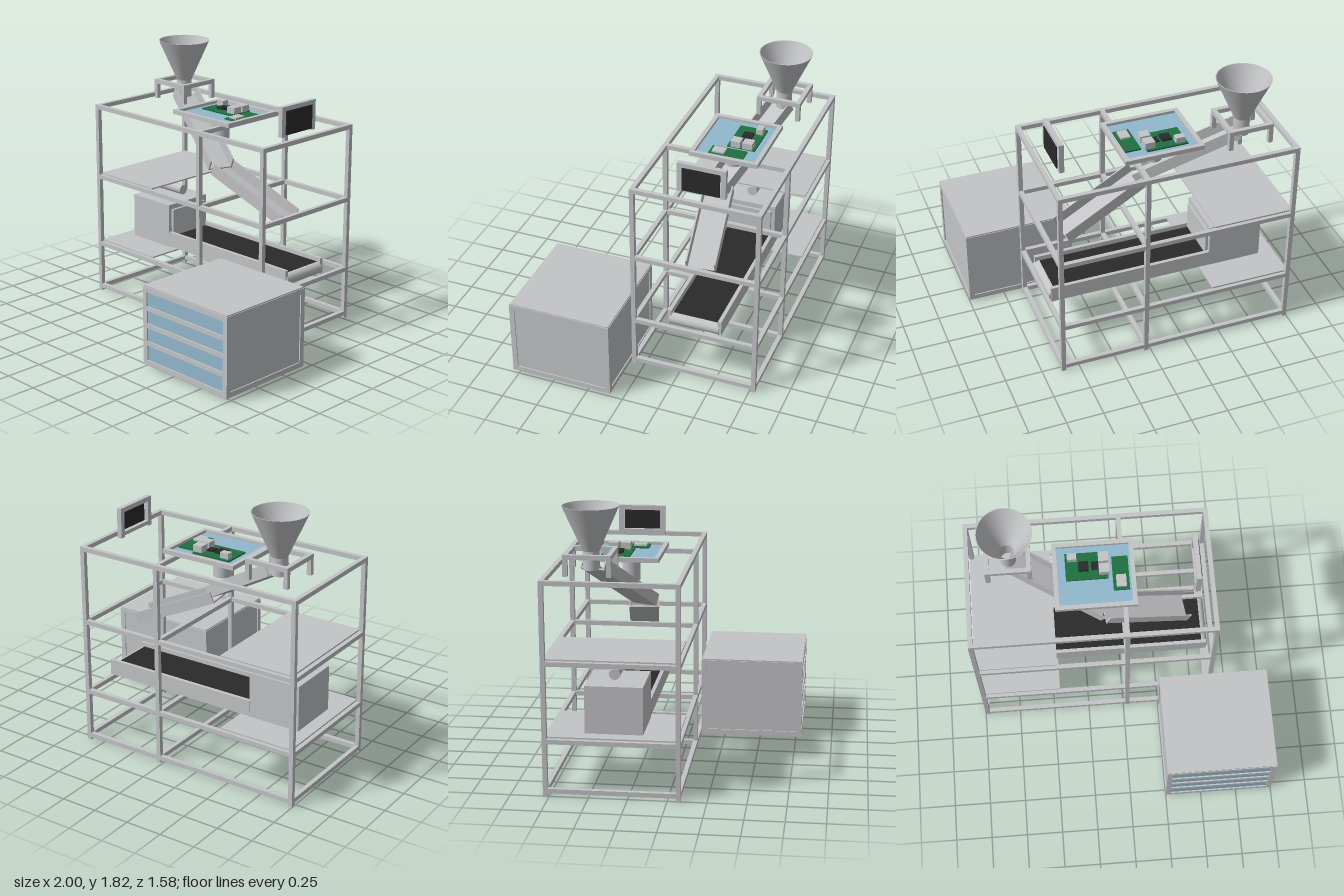
import * as THREE from 'three';

const mat = (name, color) => {
  const m = new THREE.MeshStandardMaterial({ color, side: THREE.DoubleSide });
  m.name = name;
  return m;
};

export function createModel() {
  const metal = mat('light grey metal', 0xc3c4c6);
  const blue = mat('pale blue panel', 0x92b8cd);
  const black = mat('black rubber', 0x2a2a2a);
  const green = mat('circuit green', 0x1e7040);

  const model = new THREE.Group();
  model.name = 'sortingMachine';

  const group = (name) => {
    const g = new THREE.Group();
    g.name = name;
    model.add(g);
    return g;
  };
  const add = (parent, name, geo, material) => {
    const m = new THREE.Mesh(geo, material);
    m.name = name;
    parent.add(m);
    return m;
  };
  // Box given by its lower and upper limits on each axis
  const box = (parent, name, material, x0, x1, y0, y1, z0, z1) => {
    const m = add(parent, name, new THREE.BoxGeometry(x1 - x0, y1 - y0, z1 - z0), material);
    m.position.set((x0 + x1) / 2, (y0 + y1) / 2, (z0 + z1) / 2);
    return m;
  };
  // Flat rectangular ring of four bars
  const ring = (parent, name, x0, x1, y0, y1, z0, z1, w) => {
    box(parent, name, metal, x0, x1, y0, y1, z0, z0 + w);
    box(parent, name, metal, x0, x1, y0, y1, z1 - w, z1);
    box(parent, name, metal, x0, x0 + w, y0, y1, z0 + w, z1 - w);
    box(parent, name, metal, x1 - w, x1, y0, y1, z0 + w, z1 - w);
  };

  // Rack: six posts, four levels of rails
  const rack = group('rack');
  const T = 0.03, X0 = -1, X1 = 0.625, Z0 = -0.79, Z1 = 0.085, XM = 0.015;
  for (const x of [X0, XM, X1 - T])
    for (const z of [Z0, Z1 - T]) box(rack, 'post', metal, x, x + T, 0, 1.395, z, z + T);
  for (const y of [0.02, 0.347, 0.853, 1.365]) {
    ring(rack, 'rail', X0, X1, y, y + T, Z0, Z1, T);
    box(rack, 'crossRail', metal, XM, XM + T, y, y + T, Z0 + T, Z1 - T);
  }
  for (const y of [0.377, 0.883]) box(rack, 'shelf', metal, -0.97, -0.445, y, y + 0.01, -0.765, 0.06);

  // Hopper with spout, on a four-legged stand
  const hopper = group('hopper');
  const funnel = [[0.053, 1.41], [0.053, 1.53], [0.18, 1.815], [0.174, 1.815], [0.048, 1.53], [0.048, 1.41]];
  for (let i = 0; i < funnel.length - 1; i++) {
    const pts = [funnel[i], funnel[i + 1]].map(([r, y]) => new THREE.Vector2(r, y));
    add(hopper, 'funnel', new THREE.LatheGeometry(pts, 40), metal).position.set(-0.71, 0, -0.508);
  }
  ring(hopper, 'standTop', -0.863, -0.56, 1.5, 1.53, -0.663, -0.36, T);
  for (const x of [-0.863, -0.59])
    for (const z of [-0.663, -0.39]) box(hopper, 'standLeg', metal, x, x + T, 1.393, 1.5, z, z + T);

  // U-shaped chute between two floor points
  const chute = (name, a, b, width, wall) => {
    const g = group(name);
    const A = new THREE.Vector3(...a), B = new THREE.Vector3(...b);
    const len = A.distanceTo(B), t = 0.01;
    box(g, 'chuteFloor', metal, -width / 2, width / 2, 0, t, -len / 2, len / 2);
    for (const s of [-1, 1]) {
      const c = s * (width - t) / 2;
      box(g, 'chuteWall', metal, c - t / 2, c + t / 2, t, wall, -len / 2, len / 2);
    }
    g.position.copy(A).add(B).multiplyScalar(0.5);
    g.lookAt(B);
  };
  chute('upperChute', [-0.71, 1.412, -0.505], [-0.1, 1.04, -0.26], 0.175, 0.08);
  chute('lowerChute', [-0.11, 1.022, -0.262], [0.45, 0.767, -0.34], 0.2, 0.08);

  // Electronics tray with camera underneath
  const tray = group('electronicsTray');
  ring(tray, 'trayRim', -0.425, 0.112, 1.395, 1.425, -0.592, -0.122, T);
  box(tray, 'trayPanel', blue, -0.395, 0.082, 1.396, 1.406, -0.562, -0.152);
  box(tray, 'mainBoard', green, -0.342, -0.065, 1.406, 1.416, -0.515, -0.325);
  box(tray, 'sideBoard', green, -0.037, 0.07, 1.406, 1.416, -0.475, -0.238);
  const parts = [
    [metal, -0.327, -0.265, 1.455, -0.5, -0.455],
    [black, -0.257, -0.19, 1.43, -0.45, -0.382],
    [black, -0.172, -0.125, 1.425, -0.445, -0.39],
    [metal, -0.124, -0.056, 1.46, -0.497, -0.43],
    [metal, -0.124, -0.056, 1.46, -0.415, -0.35],
    [metal, -0.016, 0.05, 1.428, -0.342, -0.257],
  ];
  for (const [m, x0, x1, top, z0, z1] of parts) box(tray, 'component', m, x0, x1, 1.416, top, z0, z1);
  add(tray, 'camera', new THREE.CylinderGeometry(0.06, 0.06, 0.172, 32), metal).position.set(-0.172, 1.311, -0.337);

  // Display on the rack's end
  const display = group('display');
  for (const z of [-0.523, -0.232]) box(display, 'displayPost', metal, 0.492, 0.525, 1.393, 1.567, z, z + 0.035);
  box(display, 'displayTop', metal, 0.492, 0.525, 1.565, 1.597, -0.523, -0.197);
  box(display, 'displayBottom', metal, 0.492, 0.52, 1.405, 1.43, -0.488, -0.232);
  box(display, 'screen', black, 0.521, 0.531, 1.405, 1.567, -0.485, -0.235);

  // Conveyor with end rollers and chamber
  const conveyor = group('conveyor');
  box(conveyor, 'belt', black, -0.5, 0.575, 0.383, 0.472, -0.518, -0.198);
  const lie = (name, r, len, x, y, z, axis) => {
    const m = add(conveyor, name, new THREE.CylinderGeometry(r, r, len, 32), metal);
    m.rotation[axis] = Math.PI / 2;
    m.position.set(x, y, z);
  };
  lie('endRoller', 0.042, 0.346, 0.575, 0.428, -0.352, 'x');
  for (const z of [-0.54, -0.192]) box(conveyor, 'sidePlate', metal, -0.515, 0.605, 0.392, 0.5, z, z + 0.025);
  box(conveyor, 'chamber', metal, -0.883, -0.515, 0.388, 0.7, -0.537, -0.165);
  box(conveyor, 'chamberDoor', metal, -0.515, -0.497, 0.466, 0.665, -0.51, -0.19);
  lie('lamp', 0.035, 0.275, -0.697, 0.767, -0.35, 'z');

  // Drawer cabinet, open underneath
  const cab = group('cabinet');
  const cx0 = 0.25, cx1 = 1, cz0 = 0.087, cz1 = 0.79, cy0 = 0.022, cy1 = 0.56, w = 0.035;
  for (const y of [cy0, cy1 - w]) ring(cab, 'cabinetRail', cx0, cx1, y, y + w, cz0, cz1, w);
  for (const x of [cx0, cx1 - w])
    for (const z of [cz0, cz1 - w]) box(cab, 'cabinetPost', metal, x, x + w, cy0 + w, cy1 - w, z, z + w);
  box(cab, 'cabinetTop', metal, cx0 + 0.005, cx1 - 0.005, cy1, 0.568, cz0 + 0.005, cz1 - 0.005);
  for (const x of [cx0 + 0.008, cx1 - 0.018])
    box(cab, 'sidePanel', metal, x, x + 0.01, cy0 + w, cy1 - w, cz0 + w, cz1 - w);
  box(cab, 'backPanel', metal, cx0 + w, cx1 - w, cy0 + w, cy1 - w, cz0 + 0.008, cz0 + 0.018);
  for (const y of [0.158, 0.28, 0.398]) box(cab, 'drawerDivider', metal, cx0 + w, cx1 - w, y, y + 0.031, cz1 - w, cz1);
  for (const [y0, y1] of [[0.057, 0.158], [0.189, 0.28], [0.311, 0.398], [0.429, 0.527]])
    box(cab, 'drawerFront', blue, cx0 + w, cx1 - w, y0, y1, cz1 - 0.018, cz1 - 0.009);

  return model;
}
